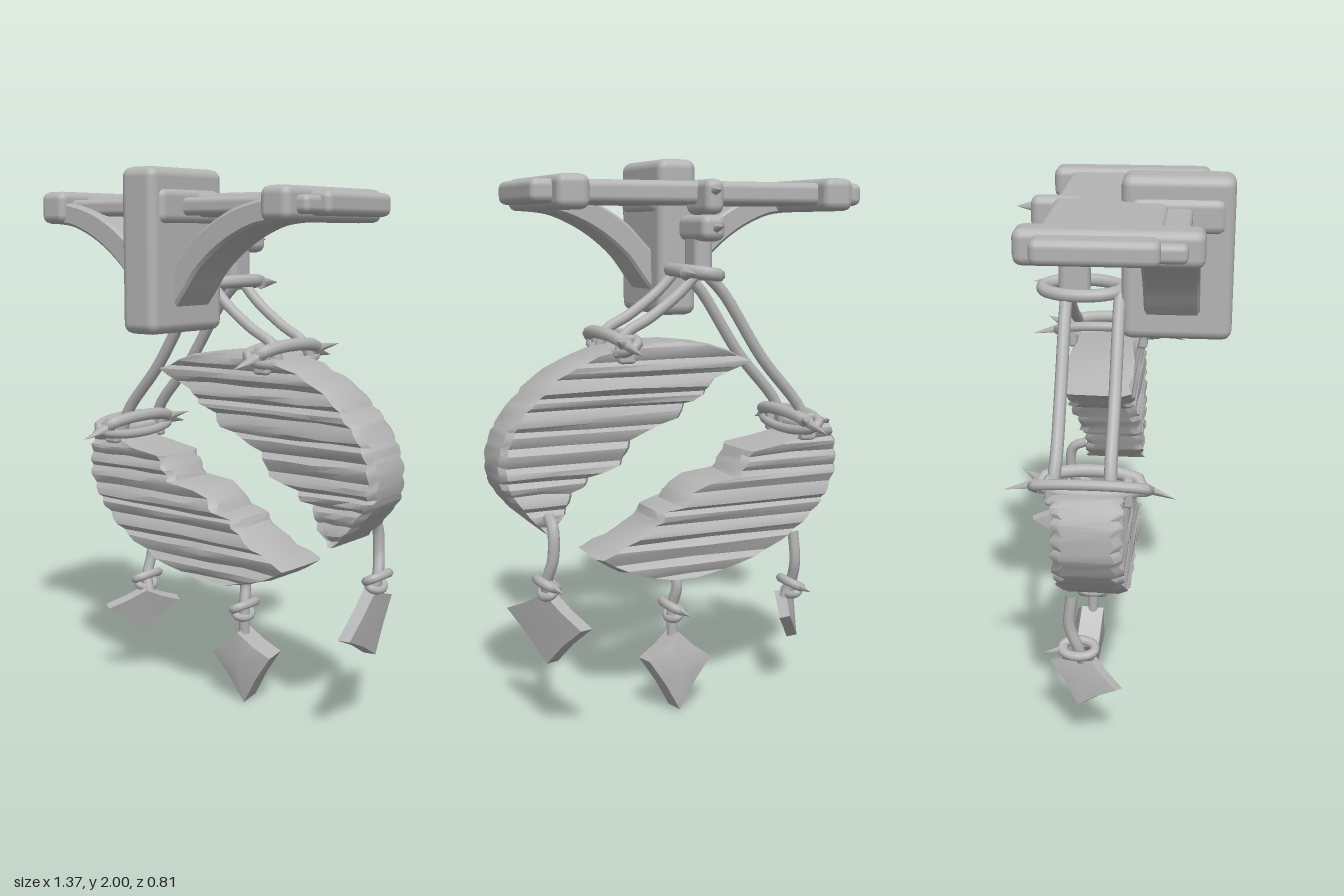
import * as THREE from 'three';
import { toCreasedNormals } from 'three/addons/utils/BufferGeometryUtils.js';
import { RoundedBoxGeometry } from 'three/addons/geometries/RoundedBoxGeometry.js';

const grey = new THREE.MeshStandardMaterial({ color: 0xb4b4b4 });
grey.name = 'plain grey';
const V = (x, y, z) => new THREE.Vector3(x, y, z);

let seed = 7;
const rand = () => (seed = (seed * 16807) % 2147483647) / 2147483647;

function add(parent, name, geometry) {
  const mesh = new THREE.Mesh(geometry, grey);
  mesh.name = name;
  parent.add(mesh);
  return mesh;
}

// Rounded block given by its lower and upper limits
function block(parent, name, [x0, x1], [y0, y1], [z0, z1], r = 0.025) {
  const m = add(parent, name, new RoundedBoxGeometry(x1 - x0, y1 - y0, z1 - z0, 2, r));
  m.position.set((x0 + x1) / 2, (y0 + y1) / 2, (z0 + z1) / 2);
  return m;
}

// Rope through a list of points
function rope(parent, name, points, r = 0.02, closed = false) {
  const path = new THREE.CatmullRomCurve3(points.map(p => V(...p)), closed);
  return add(parent, name, new THREE.TubeGeometry(path, closed ? 32 : 16, r, 8, closed));
}

// Tilted closed loop of rope, long in z
function loop(parent, name, [x, y, z], halfX, halfZ, tilt, r = 0.02) {
  const points = [];
  for (let i = 0; i < 10; i++) {
    const a = i * Math.PI / 5;
    points.push([x + halfX * Math.cos(a), y + tilt * Math.cos(a), z + halfZ * Math.sin(a)]);
  }
  return rope(parent, name, points, r, true);
}

// Pointed rope end
function ropeEnd(parent, from, to, r = 0.025) {
  const a = V(...from), d = V(...to).sub(a);
  const m = add(parent, 'ropeEnd', new THREE.ConeGeometry(r, d.length(), 6));
  m.position.copy(a).addScaledVector(d, 0.5);
  m.quaternion.setFromUnitVectors(V(0, 1, 0), d.normalize());
}

// Broken wooden half: rows of [y, left, right] lofted with a rough grain
function brokenHalf(parent, name, rows) {
  const pos = [], idx = [], n = 12, levels = [];
  for (let k = 0; k < rows.length - 1; k++) {
    const steps = Math.max(1, Math.round((rows[k + 1][0] - rows[k][0]) / 0.02));
    for (let s = 0; s < steps; s++) levels.push(rows[k].map((v, i) => v + (rows[k + 1][i] - v) * s / steps));
  }
  levels.push(rows[rows.length - 1]);
  levels.forEach(([y, l, r], k) => {
    const groove = k % 3 === 1 ? 0.016 : 0.004 * rand();
    const zf = 0.07 - groove, zb = -0.175 + groove, w = r - l, e = Math.min(0.02, w * 0.1);
    const ring = [[r, zb + 0.03], [r, zf - 0.03], [r - e, zf]];
    for (const t of [0.75, 0.5, 0.25]) ring.push([l + w * t, zf - 0.008 * rand()]);
    ring.push([l + e, zf], [l, zf - 0.03], [l, zb + 0.03], [l + e, zb], [l + w / 2, zb + 0.008 * rand()], [r - e, zb]);
    ring.forEach(([x, z], i) => pos.push(x, y + (k && k < levels.length - 1 ? (rand() - 0.5) * 0.008 : 0), z));
  });
  for (let k = 0; k < levels.length - 1; k++) {
    for (let i = 0; i < n; i++) {
      const a = k * n + i, b = k * n + (i + 1) % n;
      idx.push(a, a + n, b, b, a + n, b + n);
    }
  }
  const last = (levels.length - 1) * n;
  for (let i = 1; i < n - 1; i++) idx.push(0, i, i + 1, last, last + i + 1, last + i);
  const g = new THREE.BufferGeometry();
  g.setAttribute('position', new THREE.Float32BufferAttribute(pos, 3));
  g.setIndex(idx);
  add(parent, name, toCreasedNormals(g, 0.6));
}

// Hanging diamond: four corners (top, right, bottom, left) given a thickness
function pendant(parent, name, corners, thick, bow = 0.02) {
  const c = corners.map(p => V(...p));
  const normal = c[3].clone().sub(c[1]).cross(c[2].clone().sub(c[0])).normalize();
  const pos = [], idx = [];
  for (const side of [1, -1]) {
    const ring = [];
    c.forEach((p, i) => {
      const q = c[(i + 1) % 4];
      ring.push(p, p.clone().lerp(q, 0.5).lerp(c[(i + 2) % 4].clone().add(c[(i + 3) % 4]).multiplyScalar(0.5), 0.03));
    });
    const mid = c[0].clone().add(c[1]).add(c[2]).add(c[3]).multiplyScalar(0.25);
    ring.forEach(p => pos.push(...p.clone().addScaledVector(normal, side * thick / 2)));
    pos.push(...mid.addScaledVector(normal, side * (thick / 2 + bow)));
  }
  for (let i = 0; i < 8; i++) {
    const j = (i + 1) % 8;
    idx.push(8, i, j, 17, 9 + j, 9 + i, i, 9 + i, j, j, 9 + i, 9 + j);
  }
  const g = new THREE.BufferGeometry();
  g.setAttribute('position', new THREE.Float32BufferAttribute(pos, 3));
  // Corners run clockwise as seen along the normal, so flip when needed
  const a = c[0].clone().sub(c[3]).cross(c[1].clone().sub(c[0]));
  if (a.dot(normal) < 0) for (let i = 0; i < idx.length; i += 3) [idx[i + 1], idx[i + 2]] = [idx[i + 2], idx[i + 1]];
  g.setIndex(idx);
  add(parent, name, toCreasedNormals(g, 0.5));
}

export function createModel() {
  const model = new THREE.Group();
  model.name = 'hangingSign';

  // Bracket: post, plank, clamps and curved braces
  const bracket = new THREE.Group();
  bracket.name = 'bracket';
  model.add(bracket);
  block(bracket, 'post', [-0.13, 0.02], [1.44, 2.0], [0.02, 0.4], 0.035);
  block(bracket, 'postBand', [-0.145, 0.035], [1.81, 1.93], [0.05, 0.37], 0.03);
  block(bracket, 'plank', [-0.685, 0.575], [1.835, 1.915], [-0.21, 0.18]);
  block(bracket, 'plankFront', [-0.65, 0.545], [1.84, 1.9], [0.1, 0.26], 0.02);
  for (const s of [-1, 1]) {
    const cx = -0.055 + s * 0.5;
    block(bracket, 'clamp', [cx - 0.058, cx + 0.058], [1.815, 1.93], [-0.27, 0.31], 0.03);
    const P = (x, y) => new THREE.Vector2(-0.055 + s * x, y);
    const shape = new THREE.Shape();
    shape.moveTo(0, 0);
    shape.curves = [];
    shape.currentPoint.copy(P(0.5, 1.825));
    shape.splineThru([P(0.4, 1.81), P(0.28, 1.755), P(0.17, 1.67), P(0.1, 1.58), P(0.06, 1.53)]);
    shape.lineTo(P(0.03, 1.53).x, 1.62);
    shape.splineThru([P(0.1, 1.69), P(0.18, 1.77), P(0.3, 1.84), P(0.42, 1.875), P(0.5, 1.88)]);
    const g = new THREE.ExtrudeGeometry(shape, { depth: 0.17, bevelSize: 0.01, bevelThickness: 0.01, bevelSegments: 1, curveSegments: 4 });
    add(bracket, 'brace', toCreasedNormals(g, 0.7)).position.z = 0.11;
  }

  // Hook and ring behind the post
  const hook = new THREE.Group();
  hook.name = 'hook';
  model.add(hook);
  block(hook, 'hookTop', [-0.09, -0.02], [1.8, 1.92], [-0.29, -0.1], 0.03);
  block(hook, 'hookMiddle', [-0.1, -0.01], [1.71, 1.8], [-0.28, -0.06], 0.03);
  block(hook, 'hookStem', [-0.09, -0.02], [1.58, 1.74], [-0.2, -0.09], 0.025);
  ropeEnd(hook, [-0.05, 1.88, -0.26], [-0.05, 1.88, -0.34]);
  ropeEnd(hook, [-0.06, 1.75, -0.24], [-0.06, 1.76, -0.34]);
  ropeEnd(hook, [0.02, 1.6, -0.2], [0.025, 1.6, -0.3]);
  loop(hook, 'ring', [-0.05, 1.6, -0.12], 0.07, 0.14, 0.01, 0.023);

  // Wooden halves
  brokenHalf(model, 'upperHalf', [
    [0.72, 0.51, 0.53], [0.78, 0.45, 0.6], [0.855, 0.42, 0.66], [0.87, 0.375, 0.67], [0.9, 0.36, 0.68],
    [0.935, 0.24, 0.685], [0.98, 0.22, 0.685], [1.02, 0.2, 0.675], [1.06, 0.12, 0.66], [1.09, 0.02, 0.645],
    [1.14, -0.01, 0.61], [1.17, -0.08, 0.58], [1.22, -0.12, 0.53], [1.245, -0.19, 0.5], [1.285, -0.27, 0.43],
    [1.32, -0.18, 0.35], [1.345, -0.1, 0.26], [1.36, 0.0, 0.17]]);
  brokenHalf(model, 'lowerHalf', [
    [0.5, -0.06, 0.06], [0.515, -0.18, 0.14], [0.55, -0.3, 0.25], [0.6, -0.41, 0.34], [0.66, -0.5, 0.2],
    [0.72, -0.565, 0.11], [0.75, -0.585, 0.1], [0.765, -0.595, 0.02], [0.81, -0.62, -0.01], [0.84, -0.632, -0.07],
    [0.86, -0.636, -0.2], [0.91, -0.637, -0.23], [0.95, -0.633, -0.25], [0.965, -0.63, -0.37],
    [1.0, -0.615, -0.5], [1.05, -0.59, -0.57]]);

  // Suspension ropes, in pairs, with knots round the wood
  const ropes = new THREE.Group();
  ropes.name = 'suspensionRopes';
  model.add(ropes);
  for (const z of [0.015, -0.17]) {
    rope(ropes, 'leftRope', [[-0.08, 1.59, z], [-0.14, 1.53, z], [-0.3, 1.29, z], [-0.46, 1.1, z], [-0.5, 0.99, z * 1.1]], 0.022);
    rope(ropes, 'rightRope', [[-0.03, 1.59, z], [0.03, 1.53, z], [0.14, 1.45, z], [0.24, 1.39, z], [0.26, 1.32, z * 1.1]], 0.02);
  }
  for (const [x, y] of [[-0.47, 1.05], [0.25, 1.365]]) {
    loop(ropes, 'knotLoop', [x, y, -0.05], 0.035, 0.17, 0.03, 0.023);
    loop(ropes, 'knotLoop', [x - 0.02, y - 0.01, -0.05], 0.04, 0.2, -0.03, 0.018);
    ropeEnd(ropes, [x, y, 0.1], [x - 0.02, y - 0.04, 0.235]);
    ropeEnd(ropes, [x, y, -0.2], [x - 0.01, y - 0.03, -0.345]);
    ropeEnd(ropes, [x, y, -0.2], [x + 0.06, y + 0.02, -0.29]);
    for (const z of [0.075, -0.185]) block(ropes, 'knotTab', [x - 0.045, x + 0.015], [y - 0.07, y + 0.03], [z - 0.018, z + 0.018], 0.012);
  }

  // Pendants on short ropes
  const hangers = [
    [[-0.47, 0.62, -0.12], [-0.475, 0.5, -0.13], [-0.475, 0.41, -0.1], [-0.455, 0.35, -0.09]],
    [[0.02, 0.53, -0.1], [0.015, 0.46, -0.12], [0.025, 0.38, -0.1], [0.025, 0.27, -0.1]],
    [[0.52, 0.78, -0.17], [0.525, 0.75, -0.23], [0.53, 0.65, -0.24], [0.545, 0.56, -0.21], [0.53, 0.49, -0.19]]];
  for (const path of hangers) {
    rope(model, 'pendantRope', path, 0.021);
    const [x, y, z] = path[path.length - 2];
    loop(model, 'pendantKnot', [x, y, z], 0.03, 0.06, 0.015, 0.017);
    loop(model, 'pendantKnot', [x - 0.005, y - 0.03, z], 0.02, 0.045, -0.015, 0.015);
    ropeEnd(model, [x, y, z - 0.04], [x - 0.02, y - 0.01, z - 0.12], 0.02);
  }
  pendant(model, 'leftPendant', [[-0.45, 0.37, -0.06], [-0.395, 0.31, -0.2], [-0.49, 0.19, -0.09], [-0.555, 0.3, 0.05]], 0.04, 0.005);
  pendant(model, 'middlePendant', [[0.02, 0.285, -0.1], [0.15, 0.2, -0.13], [0.03, 0, -0.13], [-0.105, 0.18, -0.11]], 0.085);
  pendant(model, 'rightPendant', [[0.53, 0.52, -0.19], [0.585, 0.4, 0.07], [0.525, 0.27, -0.2], [0.47, 0.44, -0.4]], 0.045, 0.005);

  return model;
}
